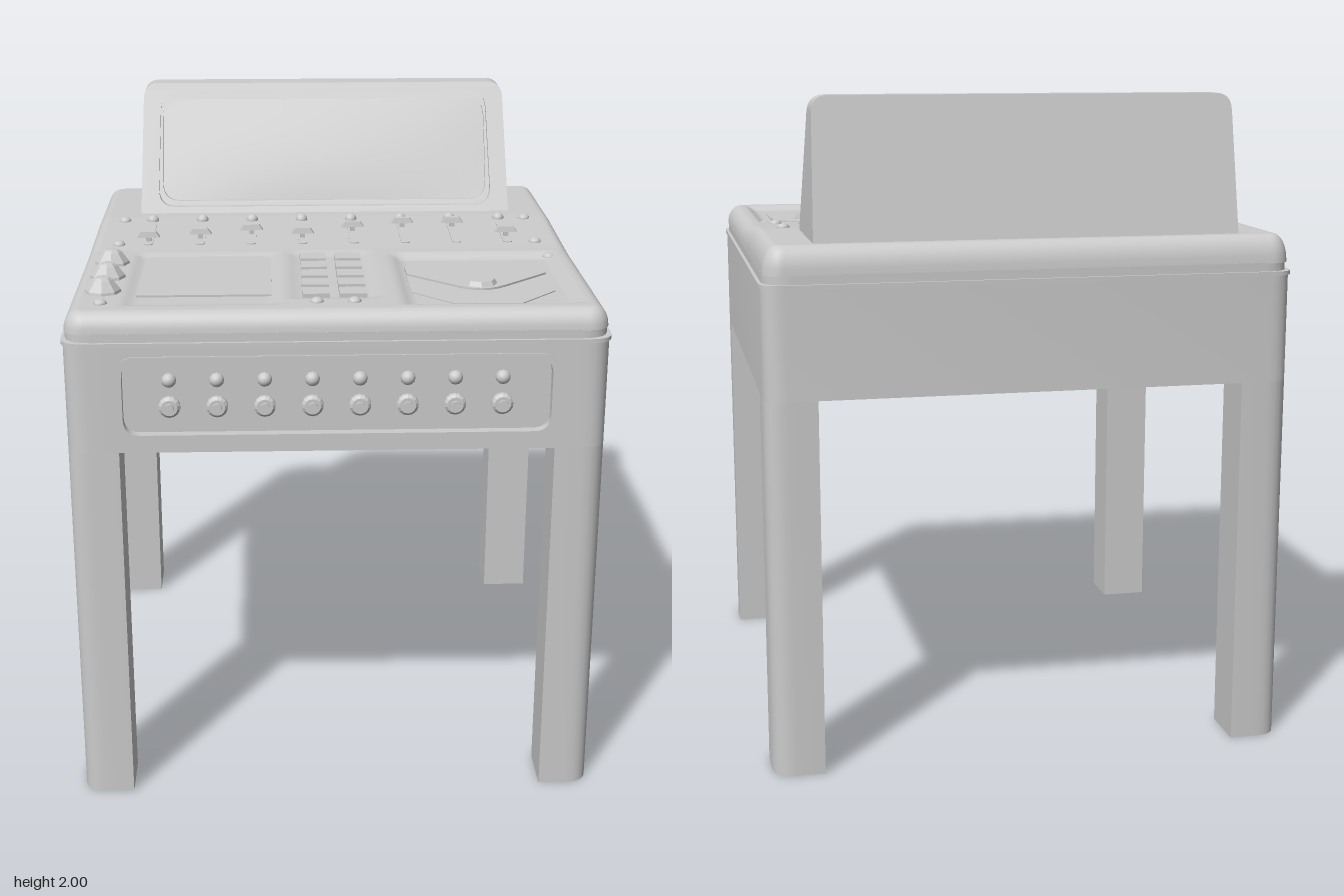
import * as THREE from 'three';
import { toCreasedNormals } from 'three/addons/utils/BufferGeometryUtils.js';

const grey = new THREE.MeshStandardMaterial({ color: 0xcccccc });
const faceted = new THREE.MeshStandardMaterial({ color: 0xcccccc, flatShading: true });

// Closed outline from [x, y, cornerRadius] points
function outline(points, Type = THREE.Shape) {
  const path = new Type();
  const n = points.length;
  points.forEach(([x, y, r = 0], i) => {
    const toward = ([px, py]) => {
      const l = Math.hypot(px - x, py - y);
      return [x + (px - x) * r / l, y + (py - y) * r / l];
    };
    const a = toward(points[(i + n - 1) % n]);
    const b = toward(points[(i + 1) % n]);
    if (i === 0) path.moveTo(...a); else path.lineTo(...a);
    if (r > 0) path.quadraticCurveTo(x, y, ...b);
  });
  path.closePath();
  return path;
}
const rect = (x0, y0, x1, y1, r, Type) =>
  outline([[x0, y0, r], [x1, y0, r], [x1, y1, r], [x0, y1, r]], Type);

function extrude(shape, depth) {
  return new THREE.ExtrudeGeometry(shape, { depth, bevelEnabled: false, curveSegments: 6 });
}
// Extrude a plan (x, -z) upwards from y
function extrudeUp(shape, y, h) {
  return extrude(shape, h).rotateX(-Math.PI / 2).translate(0, y, 0);
}
function add(parent, name, geometry, x = 0, y = 0, z = 0, material = grey) {
  const mesh = new THREE.Mesh(geometry, material);
  mesh.name = name;
  mesh.position.set(x, y, z);
  parent.add(mesh);
  return mesh;
}
const creased = (g) => toCreasedNormals(g, 0.6);

// Height of the desk top: a high rear, a gentle slope, a lower front
const slope = 0.06;
const deckY = (z) => 1.585 - 0.023 * THREE.MathUtils.clamp((z + 0.3) / 0.38, 0, 1);

// Shallow troughs with sloping sides: x0, x1, z0, z1, depth
const troughs = [
  [-0.63, -0.16, 0.1, 0.71, 0.01],
  [-0.14, 0.14, 0.09, 0.65, 0.01],
  [0.19, 0.73, 0.12, 0.72, 0.018],
];
function surfaceY(x, z) {
  let y = deckY(z);
  for (const [x0, x1, z0, z1, depth] of troughs) {
    const inside = Math.min(x - x0, x1 - x, z - z0, z1 - z);
    y -= depth * THREE.MathUtils.smoothstep(inside, 0, 0.04);
  }
  return y;
}

function topGeometry() {
  const half = 0.79, corner = 0.06, edge = 0.045, base = 1.5;
  const g = new THREE.PlaneGeometry(2, 2, 130, 130).rotateX(-Math.PI / 2);
  const p = g.attributes.position;
  const warp = (u) => half * Math.sign(u) * (1 - Math.pow(Math.max(0, 1 - Math.abs(u)), 1.5));
  for (let i = 0; i < p.count; i++) {
    let x = warp(p.getX(i)), z = warp(p.getZ(i));
    const d = half - Math.max(Math.abs(x), Math.abs(z));
    const qx = Math.abs(x) - half + corner, qz = Math.abs(z) - half + corner;
    if (qx > 0 && qz > 0) {
      const k = Math.max(qx, qz) / Math.hypot(qx, qz);
      x = Math.sign(x) * (half - corner + qx * k);
      z = Math.sign(z) * (half - corner + qz * k);
    }
    let y = surfaceY(x, z);
    const t = Math.max(0, 1 - d / edge);
    y -= (y - base) * (1 - Math.sqrt(Math.max(0, 1 - t * t)));
    p.setXYZ(i, x, y, z);
  }
  g.computeVertexNormals();
  return g;
}

function buildTable(model) {
  // Apron with a shallow front bay for the control panel
  const s = 0.795, r = 0.07;
  const plan = outline([
    [-s, -s, r], [-0.68, -s], [-0.68, -0.77], [0.68, -0.77], [0.68, -s], [s, -s, r],
    [s, s, r], [-s, s, r],
  ]);
  add(model, 'apron', creased(extrudeUp(plan, 1.14, 0.33)));
  const face = rect(-0.68, 1.14, 0.68, 1.47, 0);
  face.holes.push(rect(-0.625, 1.195, 0.625, 1.42, 0.05, THREE.Path));
  add(model, 'frontFascia', creased(extrude(face, 0.025)), 0, 0, 0.77);
  const rim = rect(-0.64, 1.18, 0.64, 1.435, 0.06);
  rim.holes.push(rect(-0.625, 1.195, 0.625, 1.42, 0.05, THREE.Path));
  add(model, 'panelRim', creased(extrude(rim, 0.007)), 0, 0, 0.793);

  // Legs, rounded only on the outer corner
  for (const sx of [-1, 1]) for (const sz of [-1, 1]) {
    const pts = [[sx * s, sz * s, r], [sx * 0.64, sz * s], [sx * 0.64, sz * 0.64], [sx * s, sz * 0.64]];
    add(model, 'leg', creased(extrudeUp(outline(pts), 0, 1.14)));
  }

  // Lid
  add(model, 'lidLip', creased(extrudeUp(rect(-0.8, -0.8, 0.8, 0.8, 0.07), 1.464, 0.012)));
  add(model, 'lidSkirt', creased(extrudeUp(rect(-0.79, -0.79, 0.79, 0.79, 0.085), 1.47, 0.032)));
  add(model, 'deskTop', topGeometry());

  // Front sockets and lamps
  const lamp = new THREE.SphereGeometry(0.022, 12, 6, 0, Math.PI * 2, 0, Math.PI / 2).rotateX(Math.PI / 2);
  const socket = new THREE.LatheGeometry([[0.032, 0], [0.032, 0.012], [0.024, 0.02], [0.014, 0.02],
    [0.014, 0.028], [0, 0.028]].map((q) => new THREE.Vector2(...q)), 14).rotateX(Math.PI / 2);
  for (let i = 0; i < 8; i++) {
    const x = -0.49 + 0.139 * i;
    add(model, 'frontLamp', lamp, x, 1.355, 0.77);
    add(model, 'frontSocket', socket, x, 1.275, 0.77, faceted);
  }
}

function buildMonitor(model) {
  const frontZ = (y) => -0.345 - (y - 1.575) * 0.53;
  const backZ = (y) => -0.73 + (y - 1.575) * 0.177;
  // Extrude a front outline, then lean its two faces
  const lean = (shape, near, far) => {
    const g = extrude(shape, 1);
    const p = g.attributes.position;
    for (let i = 0; i < p.count; i++) {
      const y = p.getY(i);
      p.setZ(i, p.getZ(i) > 0.5 ? near(y) : far(y));
    }
    g.computeVertexNormals();
    return creased(g);
  };
  const shell = () => outline([[-0.64, 1.57], [0.64, 1.57], [0.63, 2, 0.05], [-0.63, 2, 0.05]]);
  const inner = (y) => frontZ(y) - 0.035;
  add(model, 'monitorBody', lean(shell(), inner, backZ));
  const bezel = shell();
  bezel.holes.push(outline([[-0.58, 1.605, 0.06], [0.58, 1.605, 0.06], [0.57, 1.975, 0.06],
    [-0.57, 1.975, 0.06]], THREE.Path));
  add(model, 'monitorBezel', lean(bezel, frontZ, inner));
  const liner = outline([[-0.585, 1.6, 0.06], [0.585, 1.6, 0.06], [0.575, 1.98, 0.06], [-0.575, 1.98, 0.06]]);
  liner.holes.push(rect(-0.565, 1.62, 0.565, 1.945, 0.06, THREE.Path));
  add(model, 'screenSurround', lean(liner, (y) => frontZ(y) - 0.018, inner));

  // Gently bulging screen
  const g = new THREE.PlaneGeometry(1.15, 0.35, 24, 12);
  const p = g.attributes.position;
  for (let i = 0; i < p.count; i++) {
    const x = p.getX(i), y = p.getY(i) + 1.785;
    const bulge = (1 - (x / 0.575) ** 2) * (1 - ((y - 1.785) / 0.175) ** 2);
    p.setXYZ(i, x, y, frontZ(y) - 0.032 + 0.018 * bulge);
  }
  g.computeVertexNormals();
  add(model, 'screen', g);
}

function buildControls(model) {
  // Sliders with slots, and a lamp above each
  const slot = extrudeUp(rect(-0.015, -0.117, 0.015, 0.117, 0.014), 0, 0.003);
  const handle = new THREE.CylinderGeometry(0.024, 0.037, 0.018, 4, 1).rotateY(Math.PI / 4)
    .scale(1.42, 1, 0.42);
  const stem = new THREE.BoxGeometry(0.016, 0.02, 0.014);
  const bead = new THREE.SphereGeometry(0.02, 10, 6, 0, Math.PI * 2, 0, Math.PI / 2);
  const put = (name, g, x, z, lift = 0, mat = grey) => {
    const m = add(model, name, g, x, surfaceY(x, z) + lift, z, mat);
    if (z < 0.08 && z > -0.3) m.rotation.x = slope;
    return m;
  };
  [-0.017, -0.047, -0.09, -0.047, -0.115, -0.155, -0.155, -0.047].forEach((z, i) => {
    const x = -0.592 + 0.169 * i;
    put('sliderSlot', slot, x, -0.097);
    put('sliderStem', stem, x, z, 0.01);
    put('sliderHandle', handle, x, z, 0.026, faceted);
    put('sliderLamp', bead, x, -0.255);
  });
  const lamps = [[-0.687, -0.255], [0.68, -0.255], [-0.687, 0.01], [0.68, 0.01], [0.705, 0.148],
    [-0.687, 0.68], [-0.057, 0.68], [0.053, 0.68]];
  for (const [x, z] of lamps) put('lamp', bead, x, z).scale.y = 0.7;

  // Three eight-sided knobs
  const knob = new THREE.LatheGeometry([[0.056, -0.005], [0.053, 0.008], [0.03, 0.038], [0.022, 0.045],
    [0, 0.047]].map((q) => new THREE.Vector2(...q)), 8);
  for (const z of [0.228, 0.393, 0.555]) put('knob', knob, -0.69, z, 0, faceted);

  // Pad plate on the left
  const pad = outline([[-0.59, -0.587], [-0.19, -0.587], [-0.19, -0.143, 0.04], [-0.59, -0.143, 0.04]]);
  add(model, 'padPlate', extrudeUp(pad, 1.54, 0.018));

  // Two columns of keys
  const key = new THREE.BoxGeometry(0.082, 0.024, 0.073);
  for (const x of [-0.057, 0.053])
    for (let i = 0; i < 5; i++) add(model, 'key', key, x, 1.553, 0.167 + 0.1015 * i);

  // Eight-sided dish with a stepped rear part and a round button
  const dish = outline([[0.23, -0.535], [0.35, -0.663], [0.55, -0.663], [0.665, -0.535],
    [0.665, -0.275], [0.605, -0.213], [0.29, -0.213], [0.23, -0.275]]);
  add(model, 'dishFloor', extrudeUp(dish, 1.53, 0.017));
  const step = outline([[0.23, -0.35], [0.445, -0.56, 0.1], [0.665, -0.35], [0.665, -0.275],
    [0.605, -0.213], [0.29, -0.213], [0.23, -0.275]]);
  add(model, 'dishStep', creased(extrudeUp(step, 1.54, 0.013)));
  add(model, 'dishButton', new THREE.CylinderGeometry(0.045, 0.055, 0.016, 8), 0.445, 1.559, 0.462, faceted);
}

export function createModel() {
  const model = new THREE.Group();
  model.name = 'controlDesk';
  buildTable(model);
  buildMonitor(model);
  buildControls(model);
  return model;
}
